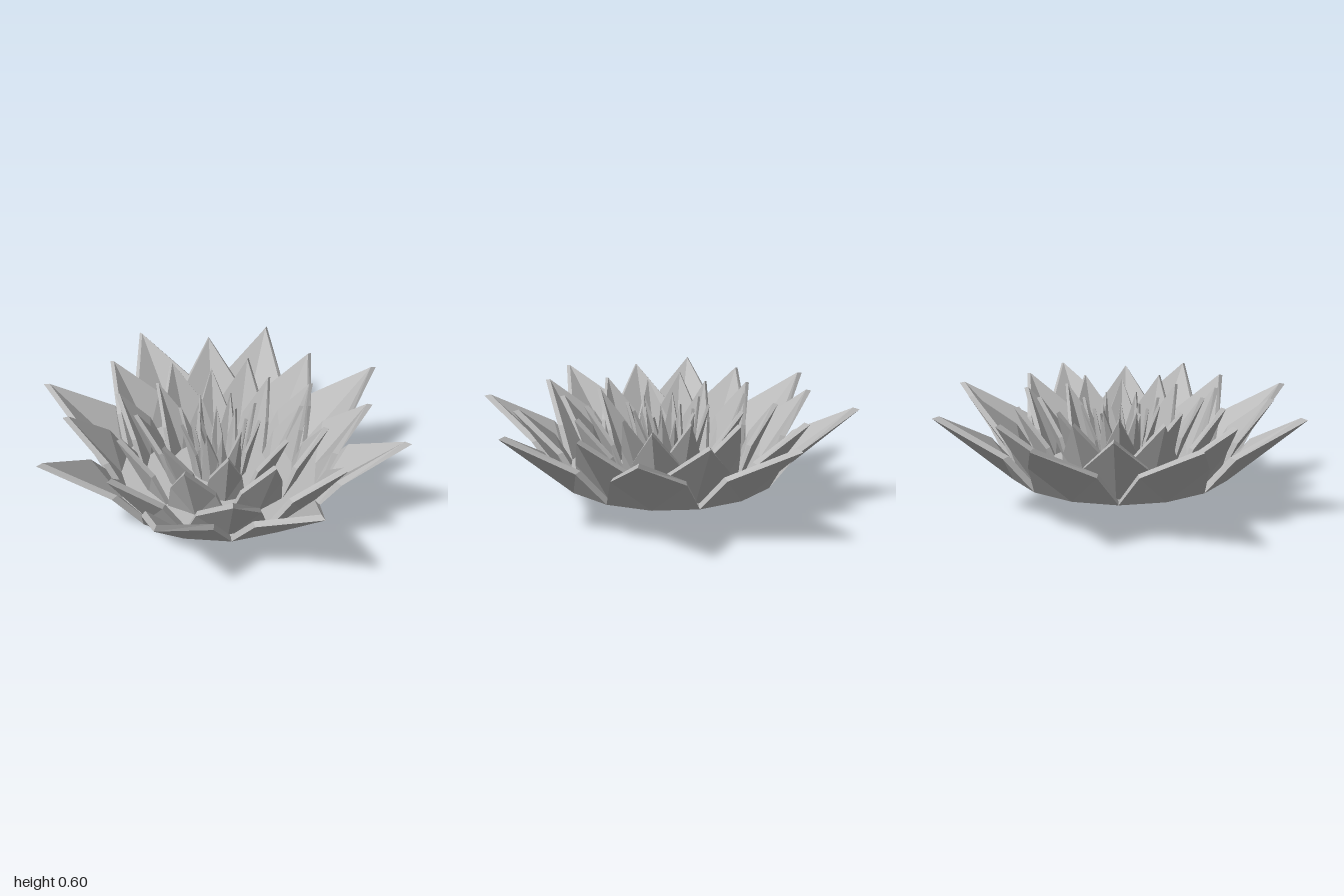
import * as THREE from 'three';

const RIM_Y = 0.21;

// One solid, slightly cupped petal facing +z, standing on the rim of its ring.
function petalGeometry(base, tip, tipY, thick) {
  const half = Math.PI / 8, sideA = half * 0.65;
  const sideR = base + (tip - base) * 0.3;
  const sideY = RIM_Y + (tipY - RIM_Y) * 0.48;
  // outline as [angle, radius, height], anticlockwise seen from outside
  const outline = [
    [-half, base, RIM_Y], [0, base, RIM_Y], [half, base, RIM_Y],
    [sideA, sideR, sideY], [0, tip, tipY], [-sideA, sideR, sideY],
  ];
  const pos = [];
  for (const t of [0, thick]) {
    for (const [a, r, y] of outline) {
      pos.push(Math.sin(a) * (r - t), y + t * 0.25, Math.cos(a) * (r - t));
    }
  }
  const index = [];
  for (const [a, b, c] of [[1, 2, 3], [1, 3, 4], [1, 4, 5], [1, 5, 0]]) {
    index.push(a, b, c, a + 6, c + 6, b + 6);
  }
  for (let i = 0; i < 6; i++) {
    const j = (i + 1) % 6;
    index.push(j, i, i + 6, j, i + 6, j + 6);
  }
  const g = new THREE.BufferGeometry();
  g.setAttribute('position', new THREE.Float32BufferAttribute(pos, 3));
  g.setIndex(index);
  const flat = g.toNonIndexed();
  flat.computeVertexNormals();
  return flat;
}

export function createModel() {
  const model = new THREE.Group();
  model.name = 'lotusBowl';
  const grey = new THREE.MeshStandardMaterial({ color: 0xbbbbbb, flatShading: true });
  grey.name = 'light grey';

  // Pointed underside
  const underside = new THREE.Mesh(new THREE.CylinderGeometry(0.6, 0, RIM_Y, 16), grey);
  underside.name = 'underside';
  underside.position.y = RIM_Y / 2;
  model.add(underside);

  // Flat floor between the petal rings
  const floor = new THREE.Mesh(new THREE.CylinderGeometry(0.575, 0.575, 0.015, 16), grey);
  floor.name = 'floor';
  floor.position.y = RIM_Y + 0.0075;
  model.add(floor);

  // Petal rings, outermost first
  const rings = [
    { name: 'outerPetals', base: 0.6, tip: 1.0, tipY: 0.578, thick: 0.035, turn: 0 },
    { name: 'secondPetals', base: 0.555, tip: 0.81, tipY: 0.588, thick: 0.03, turn: 21.2 },
    { name: 'thirdPetals', base: 0.42, tip: 0.58, tipY: 0.59, thick: 0.025, turn: 0 },
    { name: 'fourthPetals', base: 0.29, tip: 0.445, tipY: 0.59, thick: 0.022, turn: 22.5 },
    { name: 'fifthPetals', base: 0.145, tip: 0.225, tipY: 0.57, thick: 0.016, turn: 0 },
    { name: 'innerPetals', base: 0.11, tip: 0.15, tipY: 0.53, thick: 0.016, turn: 22.5 },
  ];
  for (const r of rings) {
    const ring = new THREE.Group();
    ring.name = r.name;
    const geometry = petalGeometry(r.base, r.tip, r.tipY, r.thick);
    for (let i = 0; i < 8; i++) {
      const petal = new THREE.Mesh(geometry, grey);
      petal.name = 'petal';
      petal.rotation.y = THREE.MathUtils.degToRad(r.turn + i * 45);
      ring.add(petal);
    }
    model.add(ring);
  }
  return model;
}
